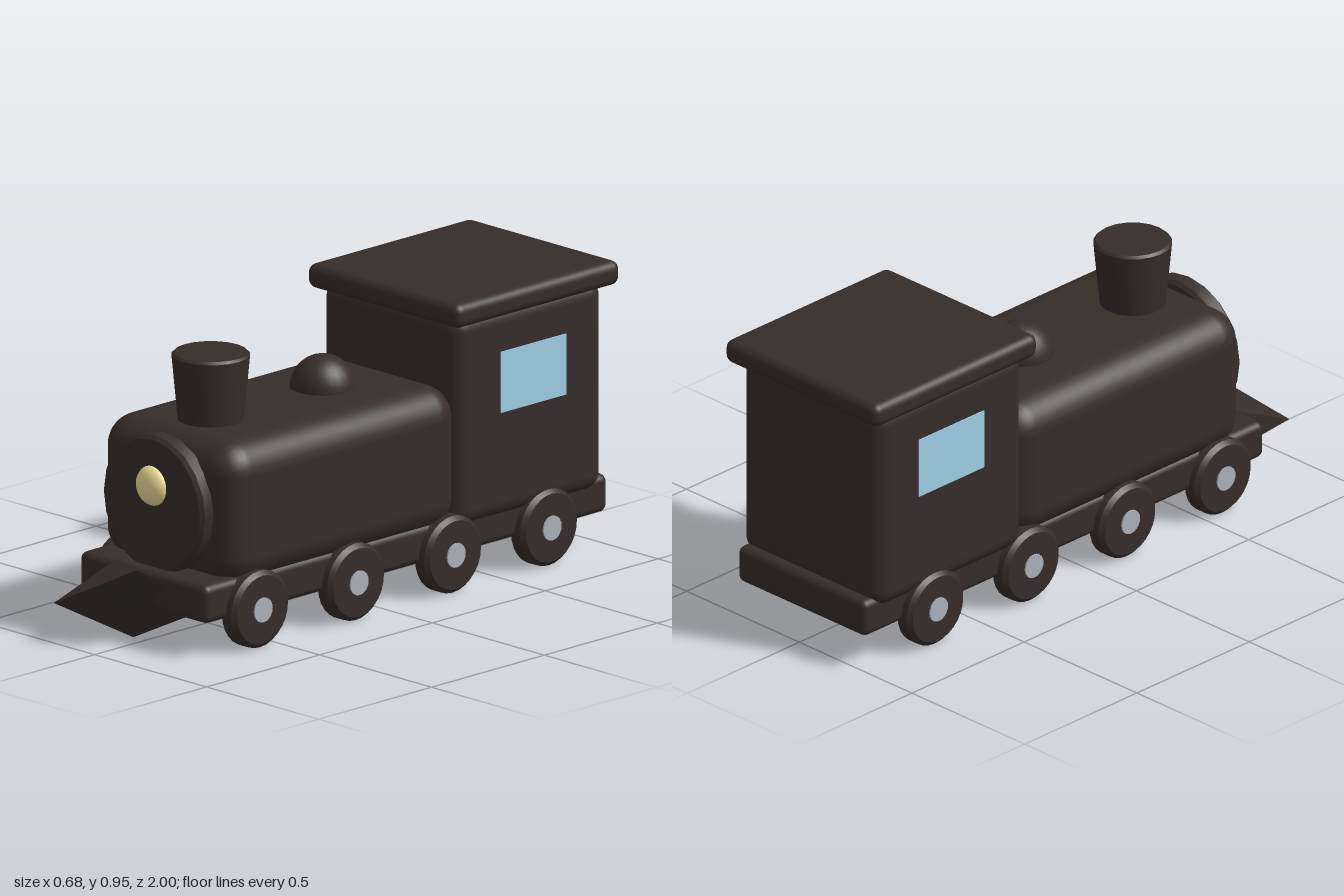
import * as THREE from 'three';
import { toCreasedNormals } from 'three/addons/utils/BufferGeometryUtils.js';
import { RoundedBoxGeometry } from 'three/addons/geometries/RoundedBoxGeometry.js';
import { ConvexGeometry } from 'three/addons/geometries/ConvexGeometry.js';

const paint = (color) => new THREE.MeshStandardMaterial({ color });

export function createModel() {
  const train = new THREE.Group();
  train.name = 'steamLocomotive';
  const dark = paint(0x352d2a), glass = paint(0x9fd0e6);
  const lamp = paint(0xf0dc9a), steel = paint(0xadb2bc);

  function add(name, geometry, material, x = 0, y = 0, z = 0) {
    const mesh = new THREE.Mesh(geometry, material);
    mesh.name = name;
    mesh.position.set(x, y, z);
    train.add(mesh);
    return mesh;
  }

  // Rounded box given by its half width and its y and z ranges
  function block(name, halfX, y0, y1, z0, z1, radius) {
    const g = new RoundedBoxGeometry(halfX * 2, y1 - y0, z1 - z0, 4, radius);
    return add(name, g, dark, 0, (y0 + y1) / 2, (z0 + z1) / 2);
  }

  // Turned solid with a bevelled rim: r0 at the bottom, r1 at the top
  function turned(r0, r1, h, bevel, sides) {
    const pts = [
      [0, -h / 2], [r0 - bevel, -h / 2], [r0, -h / 2 + bevel],
      [r1, h / 2 - bevel], [r1 - bevel, h / 2], [0, h / 2],
    ].map(([x, y]) => new THREE.Vector2(x, y));
    return toCreasedNormals(new THREE.LatheGeometry(pts, sides), 0.6);
  }

  // Body
  block('chassis', 0.285, 0.115, 0.24, -0.995, 0.79, 0.025);
  block('boiler', 0.305, 0.2, 0.672, -0.34, 0.7, 0.105);
  block('cab', 0.31, 0.2, 0.9, -0.96, -0.3, 0.06);
  block('roof', 0.34, 0.87, 0.95, -1, -0.27, 0.03);

  // Boiler front and headlamp
  add('boilerFront', turned(0.226, 0.226, 0.068, 0.012, 20).rotateX(Math.PI / 2), dark, 0, 0.443, 0.712);
  add('headlamp', new THREE.SphereGeometry(0.065, 24, 16).scale(1, 1, 0.6), lamp, 0, 0.505, 0.742);

  // Chimney and steam dome
  add('chimney', turned(0.1, 0.125, 0.28, 0.008, 20), dark, 0, 0.75, 0.485);
  add('steamDome', new THREE.SphereGeometry(0.105, 24, 16), dark, 0, 0.672, -0.012);

  // Skewed wedge plough under the nose
  const corners = [
    [-0.182, 0.135, 1], [0.06, 0.267, 0.87], [-0.048, 0.005, 0.78],
    [0.15, 0.11, 0.68], [0.103, 0.209, 0.79], [-0.14, 0.24, 0.76], [-0.15, 0.09, 0.76],
  ].map((p) => new THREE.Vector3(...p));
  add('plough', new ConvexGeometry(corners), dark);

  // Windows, wheels and hubs on both sides
  for (const side of [-1, 1]) {
    const label = side > 0 ? 'left' : 'right';
    add(label + 'Window', new THREE.BoxGeometry(0.02, 0.2, 0.29), glass, side * 0.303, 0.65, -0.635);
    [0.575, 0.15, -0.28, -0.705].forEach((z, i) => {
      add(label + 'Wheel' + (i + 1), turned(0.126, 0.126, 0.068, 0.014, 28).rotateZ(Math.PI / 2),
        dark, side * 0.288, 0.13, z);
      add(label + 'Hub' + (i + 1), new THREE.CylinderGeometry(0.04, 0.04, 0.02, 20).rotateZ(Math.PI / 2),
        steel, side * 0.317, 0.13, z);
    });
  }
  return train;
}
